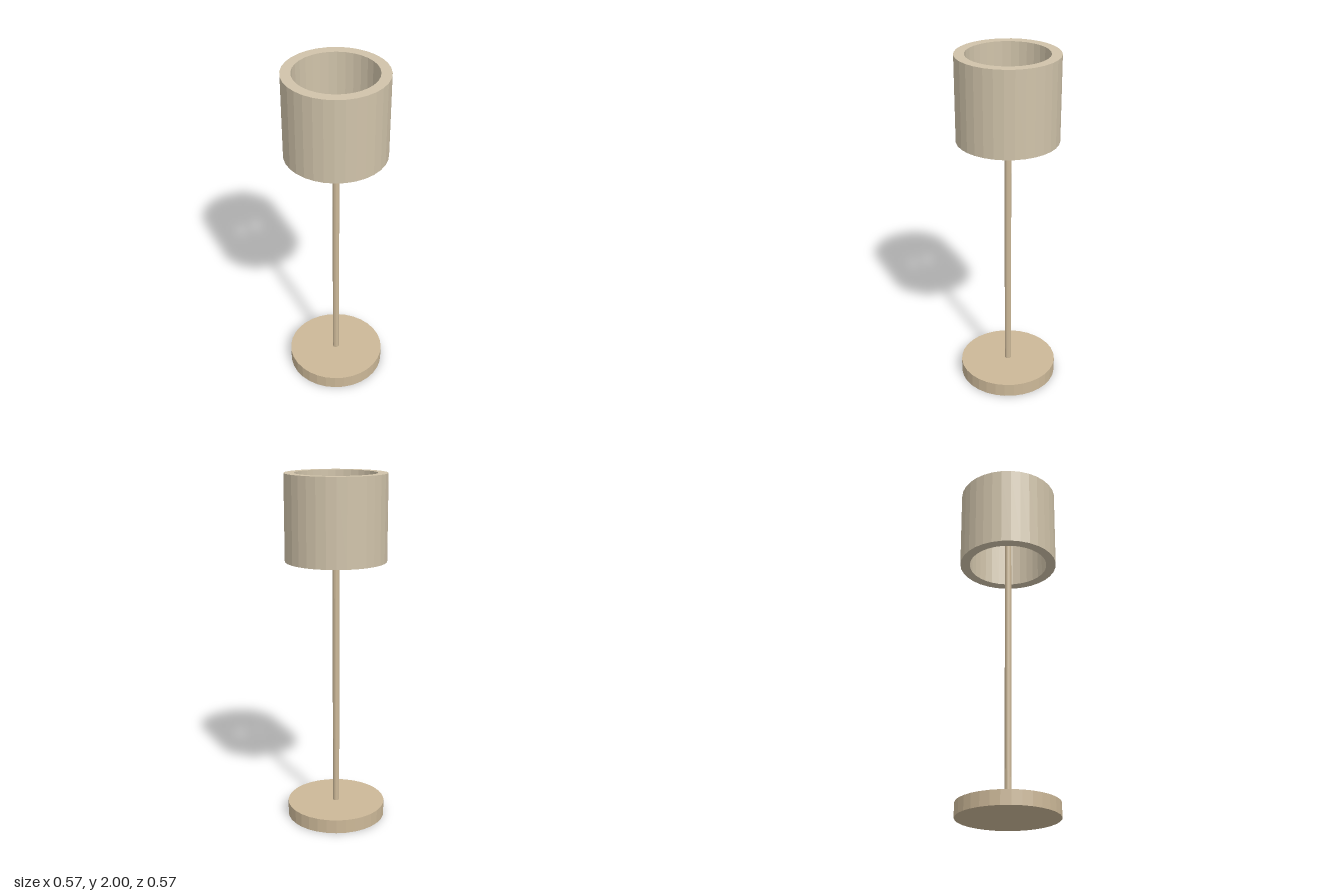
import * as THREE from 'three';

const SIDES = 32;

export function createModel() {
  const lamp = new THREE.Group();
  lamp.name = 'floorLamp';

  const tan = new THREE.MeshStandardMaterial({ color: 0xccb898, flatShading: true });
  const fabric = new THREE.MeshStandardMaterial({ color: 0xd0c3aa, flatShading: true });
  const gold = new THREE.MeshStandardMaterial({ color: 0xd4b83a });

  const add = (name, geometry, material, y = 0) => {
    const mesh = new THREE.Mesh(geometry, material);
    mesh.name = name;
    mesh.position.y = y;
    lamp.add(mesh);
  };
  const lathe = (points) =>
    new THREE.LatheGeometry(points.map(([r, y]) => new THREE.Vector2(r, y)), SIDES);

  // Round foot and thin pole reaching up into the shade
  add('base', new THREE.CylinderGeometry(0.284, 0.284, 0.08, SIDES), tan, 0.04);
  add('pole', new THREE.CylinderGeometry(0.019, 0.019, 1.62, 16), tan, 0.89);

  // Thick-walled drum shade, open at both ends
  add('shade', lathe([
    [0.228, 0], [0.284, 0], [0.284, 0.48], [0.228, 0.48], [0.228, 0],
  ]), fabric, 1.52);

  // Tapered bulb on top of the pole
  add('bulb', lathe([
    [0, 0], [0.019, 0], [0.034, 0.02], [0.04, 0.045], [0.035, 0.07],
    [0.022, 0.105], [0.01, 0.135], [0, 0.135],
  ]), gold, 1.69);

  return lamp;
}
